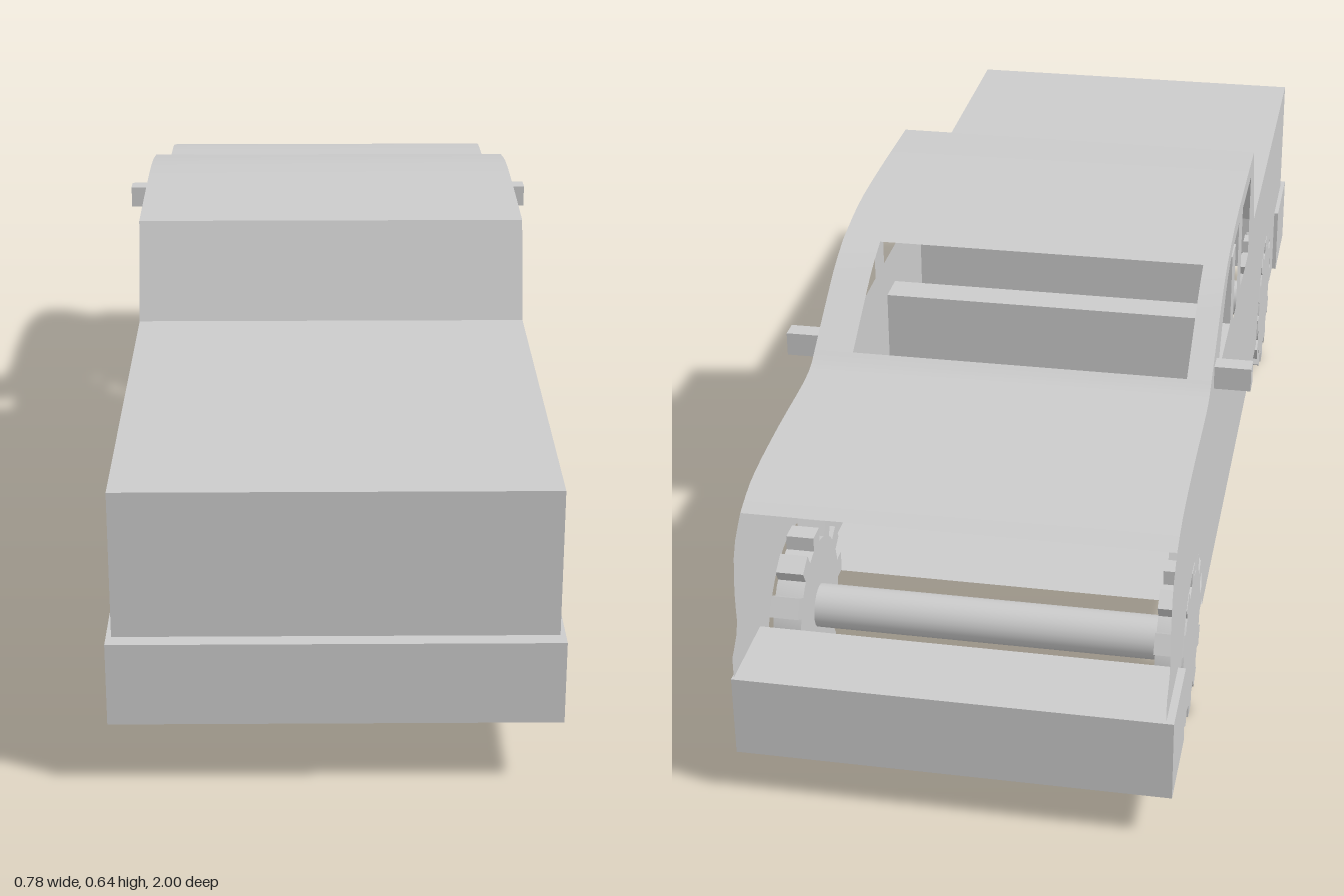
import * as THREE from 'three';
import { toCreasedNormals } from 'three/addons/utils/BufferGeometryUtils.js';

const HALF = 0.33;
const FRONT_AXLE = -0.675, REAR_AXLE = 0.6, AXLE_Y = 0.138;
const mat = new THREE.MeshStandardMaterial({ color: 0xcccccc, side: THREE.DoubleSide });

function add(parent, name, geometry, x = 0, y = 0, z = 0) {
  const mesh = new THREE.Mesh(geometry, mat);
  mesh.name = name;
  mesh.position.set(x, y, z);
  parent.add(mesh);
  return mesh;
}

// Box given by its lower and upper corners
function box(parent, name, [x0, y0, z0], [x1, y1, z1]) {
  return add(parent, name, new THREE.BoxGeometry(x1 - x0, y1 - y0, z1 - z0),
    (x0 + x1) / 2, (y0 + y1) / 2, (z0 + z1) / 2);
}

// Smooth run through [z, y] points
function smooth(points, divisions) {
  return new THREE.SplineCurve(points.map(p => new THREE.Vector2(...p))).getPoints(divisions);
}
const pts = list => list.map(p => new THREE.Vector2(...p));

// Top outline in (z, y), from tail to nose
const bed = pts([[0.975, 0.11], [0.975, 0.472], [0.26, 0.47], [0.2, 0.632]]);
const roof = smooth([[0.2, 0.632], [0.02, 0.636], [-0.15, 0.634], [-0.27, 0.615]], 10);
const screen = smooth([[-0.27, 0.615], [-0.33, 0.592], [-0.395, 0.555], [-0.475, 0.506]], 8);
const hood = smooth([[-0.475, 0.506], [-0.53, 0.484], [-0.7, 0.482], [-0.84, 0.473], [-0.91, 0.45]], 14);
const nose = smooth([[-0.91, 0.45], [-0.95, 0.41], [-0.963, 0.34], [-0.963, 0.28], [-0.995, 0.245]], 10);

// Sheet sweeping a (z, y) outline across x0..x1
function sheet(parent, name, outline, x0, x1) {
  const pos = [], index = [];
  outline.forEach((p, i) => {
    pos.push(x0, p.y, p.x, x1, p.y, p.x);
    if (i) {
      const a = 2 * i - 2;
      index.push(a, a + 1, a + 3, a, a + 3, a + 2);
    }
  });
  const g = new THREE.BufferGeometry();
  g.setAttribute('position', new THREE.Float32BufferAttribute(pos, 3));
  g.setIndex(index);
  return add(parent, name, toCreasedNormals(g, 0.5));
}

// Side panel with wheel arches and two windows
function sidePanelGeometry() {
  const shape = new THREE.Shape([...bed, ...roof.slice(1), ...screen.slice(1), ...hood.slice(1), ...nose.slice(1)]);
  shape.lineTo(-0.995, 0.075);
  shape.lineTo(-0.85, 0.075);
  shape.lineTo(-0.83, 0.11);
  shape.absarc(FRONT_AXLE, 0.12, 0.15, Math.PI, 0, true);
  shape.lineTo(-0.51, 0.1);
  shape.lineTo(0.45, 0.108);
  shape.absarc(REAR_AXLE, 0.125, 0.146, Math.PI, 0, true);
  shape.lineTo(0.75, 0.11);
  shape.holes.push(
    new THREE.Path(pts([[0.15, 0.603], [0.0, 0.605], [0.0, 0.445], [0.15, 0.445]])),
    new THREE.Path([
      ...pts([[-0.39, 0.44], [-0.065, 0.445], [-0.065, 0.605]]),
      ...smooth([[-0.18, 0.602], [-0.255, 0.58], [-0.33, 0.52], [-0.39, 0.44]], 10).slice(0, -1),
    ]));
  return new THREE.ShapeGeometry(shape, 12).rotateY(-Math.PI / 2);
}

// Toothed wheel: a disc with square lugs round the rim
function wheel(parent, name, x, z) {
  const g = new THREE.Group();
  g.name = name;
  g.position.set(x, AXLE_Y, z);
  const width = 0.046, lugs = 12;
  add(g, 'wheelDisc', toCreasedNormals(new THREE.CylinderGeometry(0.115, 0.115, width, 32).rotateZ(Math.PI / 2), 0.6));
  for (let i = 0; i < lugs; i++) {
    const a = i / lugs * Math.PI * 2;
    const lug = add(g, 'treadLug', new THREE.BoxGeometry(width, 0.036, 0.034),
      0, Math.cos(a) * 0.12, Math.sin(a) * 0.12);
    lug.rotation.x = a;
  }
  parent.add(g);
}

export function createModel() {
  const truck = new THREE.Group();
  truck.name = 'pickupTruck';

  // Body shell
  const side = sidePanelGeometry();
  add(truck, 'leftSidePanel', side, HALF);
  add(truck, 'rightSidePanel', side, -HALF);
  sheet(truck, 'tailgateBedCoverAndCabBack', bed, -HALF, HALF);
  sheet(truck, 'roof', roof, -HALF, HALF);
  sheet(truck, 'leftWindscreenPillar', screen, 0.265, HALF);
  sheet(truck, 'rightWindscreenPillar', screen, -HALF, -0.29);
  sheet(truck, 'hood', hood, -HALF, HALF);
  sheet(truck, 'floor', pts([[0.45, 0.108], [-0.51, 0.1]]), -HALF, HALF);

  // Bumpers
  box(truck, 'rearBumper', [-0.338, 0.108, 0.82], [0.338, 0.24, 1]);
  box(truck, 'frontBumper', [-0.342, 0.075, -1], [0.333, 0.21, -0.855]);

  // Bench seats
  for (const [name, z] of [['frontSeat', -0.25], ['rearSeat', 0.02]]) {
    box(truck, name + 'Cushion', [-0.3, 0.11, z], [0.3, 0.29, z + 0.15]);
    box(truck, name + 'Back', [-0.3, 0.11, z + 0.15], [0.3, 0.43, z + 0.21]);
  }

  // Axles and wheels
  for (const [name, z] of [['front', FRONT_AXLE], ['rear', REAR_AXLE]]) {
    add(truck, name + 'Axle', new THREE.CylinderGeometry(0.036, 0.036, 0.6, 24).rotateZ(Math.PI / 2), 0, AXLE_Y, z);
    wheel(truck, name + 'LeftWheel', name === 'rear' ? 0.322 : 0.308, z);
    wheel(truck, name + 'RightWheel', -0.308, z);
  }

  // Door mirrors
  for (const s of [1, -1]) {
    add(truck, s > 0 ? 'leftMirror' : 'rightMirror', new THREE.BoxGeometry(0.06, 0.04, 0.032), s * 0.36, 0.49, -0.417);
  }
  return truck;
}
